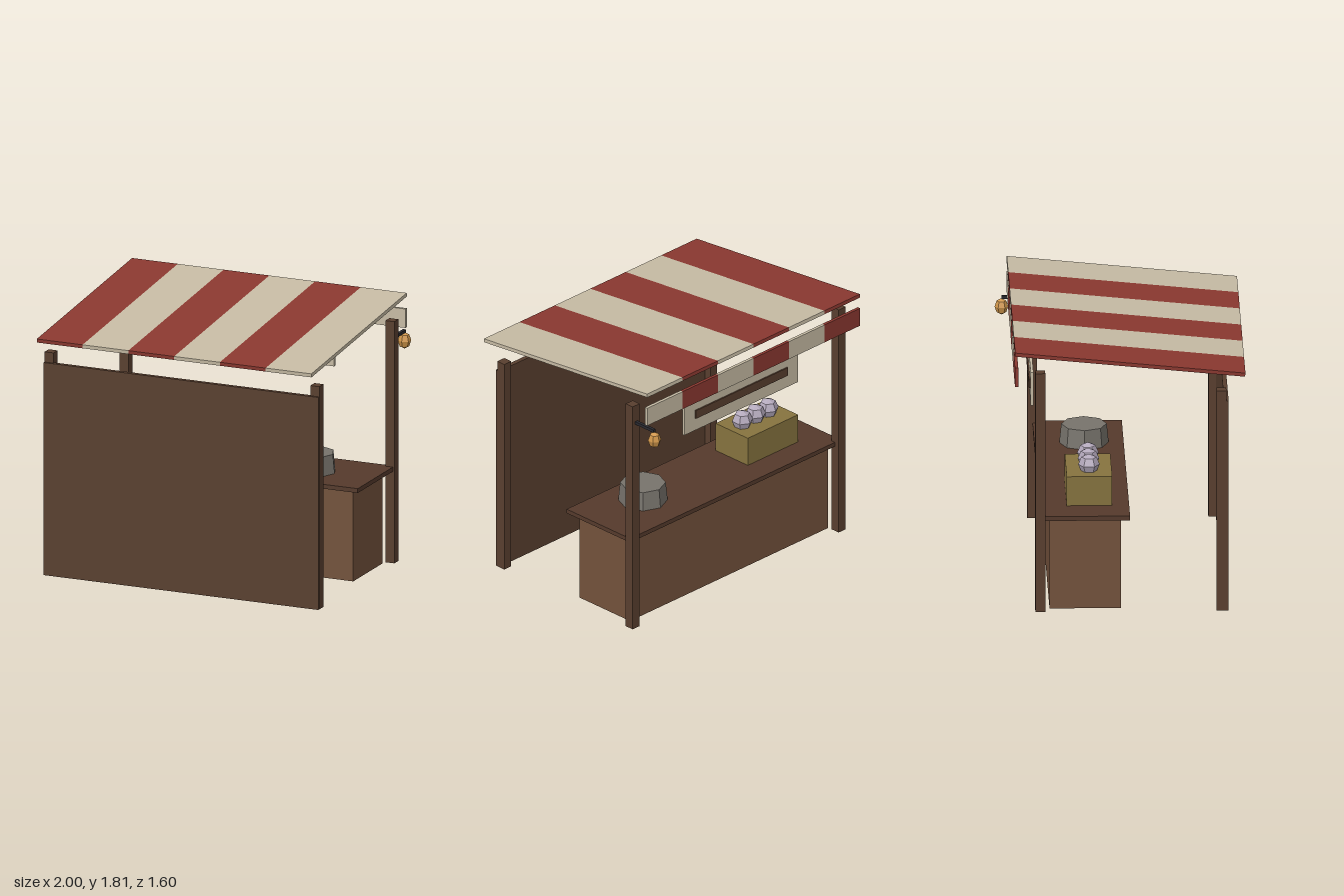
import * as THREE from 'three';

const mat = (color) => new THREE.MeshStandardMaterial({ color, flatShading: true });
const M = {
  red: mat(0x8a3830), cream: mat(0xc6bba4), wood: mat(0x593f2f), panel: mat(0x73523c),
  top: mat(0x553a2c), crate: mat(0x86733f), stone: mat(0x77736c), fruit: mat(0xb4a9bc),
  lamp: mat(0xd0964a), iron: mat(0x2a2a30),
};
const CX = -0.005; // shared centre line of the stall

export function createModel() {
  const stall = new THREE.Group();
  stall.name = 'marketStall';

  const add = (name, geo, material, x, y, z, parent = stall) => {
    const mesh = new THREE.Mesh(geo, material);
    mesh.name = name;
    mesh.position.set(x, y, z);
    parent.add(mesh);
    return mesh;
  };
  // Box given by x centre and width, then y and z ranges
  const box = (name, material, x, w, y0, y1, z0, z1) =>
    add(name, new THREE.BoxGeometry(w, y1 - y0, z1 - z0), material, x, (y0 + y1) / 2, (z0 + z1) / 2);

  // Corner posts: shorter by the wall, taller by the counter
  for (const s of [-1, 1]) {
    const x = CX + s * 0.963;
    box('wallPost', M.wood, x, 0.065, 0, 1.53, 0.61, 0.675);
    box('counterPost', M.wood, x, 0.065, 0, 1.66, -0.585, -0.52);
  }
  box('wall', M.wood, CX, 1.99, 0, 1.46, 0.66, 0.69);

  // Counter
  box('counterBase', M.panel, CX, 1.85, 0, 0.63, -0.49, -0.02);
  box('counterTop', M.top, CX, 1.97, 0.63, 0.66, -0.55, 0.04);

  // Sloping striped roof and hanging valance
  const roof = new THREE.Group();
  roof.name = 'roof';
  roof.position.set(CX, 1.716, 0.04);
  roof.rotation.x = 0.101;
  stall.add(roof);
  const stripe = 1.99 / 6;
  for (let i = 0; i < 6; i++) {
    const x = (i - 2.5) * stripe;
    const color = i % 2 ? M.cream : M.red;
    add('roofStripe', new THREE.BoxGeometry(stripe, 0.025, 1.527), color, x, 0, 0, roof);
    box('valanceStripe', color, CX + x, stripe, 1.57, 1.7, -0.72, -0.698);
  }

  // Blank sign board with a dark inset strip
  box('signBoard', M.cream, CX, 1.06, 1.28, 1.51, -0.603, -0.585);
  box('signStrip', M.wood, CX, 0.86, 1.37, 1.43, -0.613, -0.6);

  // Lantern on its bracket
  box('lanternBracket', M.iron, 0.957, 0.022, 1.522, 1.542, -0.755, -0.585);
  const lantern = add('lantern', new THREE.SphereGeometry(0.045, 6, 4), M.lamp, 0.957, 1.466, -0.755);
  lantern.rotation.y = Math.PI / 6;
  lantern.scale.y = 1.25;

  // Stone pot
  add('pot', new THREE.CylinderGeometry(0.15, 0.163, 0.13, 8), M.stone, 0.53, 0.725, -0.222);

  // Crate with a row of fruit
  box('crate', M.crate, -0.535, 0.47, 0.66, 0.862, -0.372, -0.072);
  for (const x of [-0.4, -0.52, -0.64]) {
    const fruit = add('fruit', new THREE.SphereGeometry(0.071, 6, 4), M.fruit, x, 0.905, -0.222);
    fruit.rotation.y = Math.PI / 6;
  }

  return stall;
}
